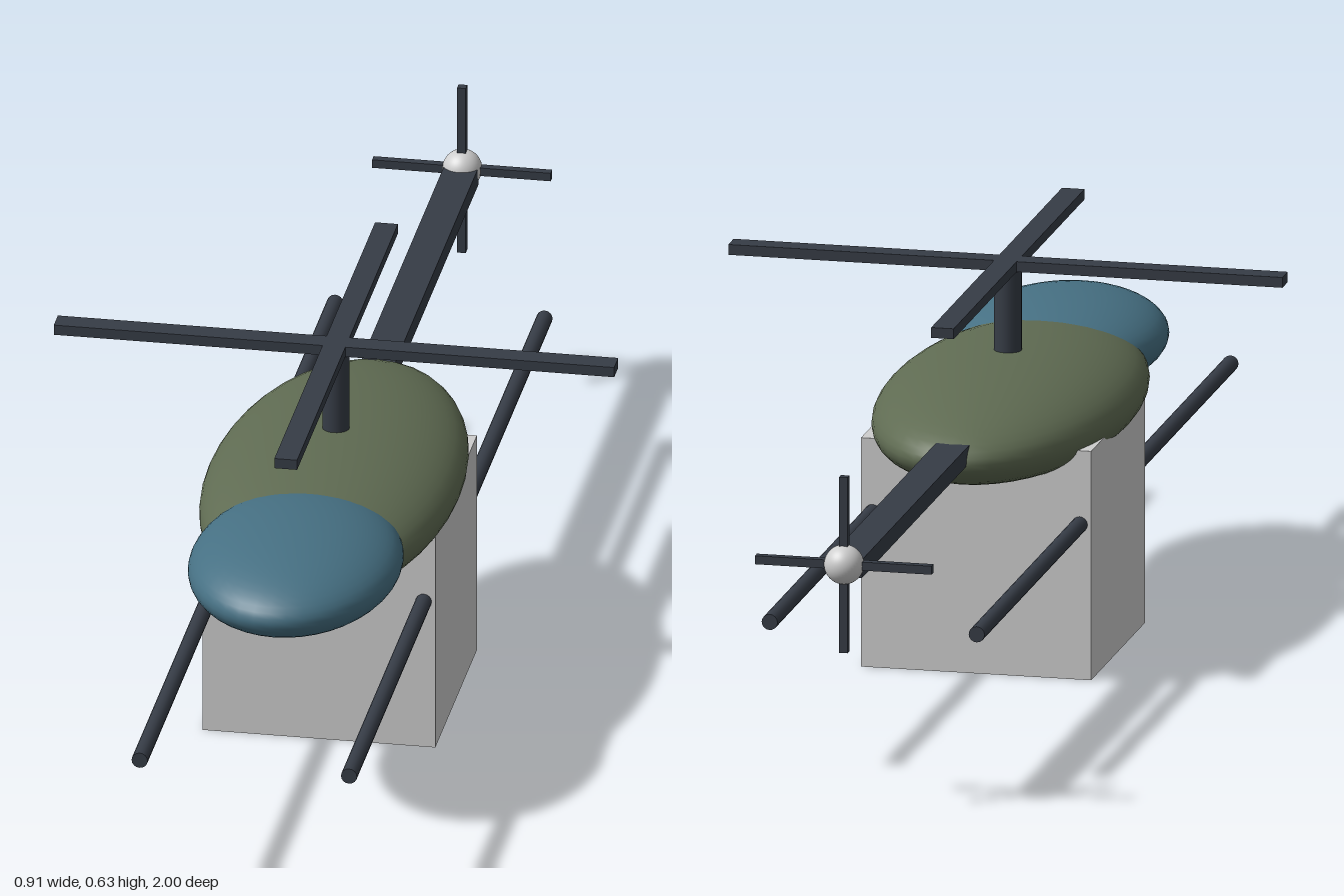
import * as THREE from 'three';

const material = (name, color) => {
  const m = new THREE.MeshStandardMaterial({ color });
  m.name = name;
  return m;
};

export function createModel() {
  const group = new THREE.Group();
  const olive = material('olive green', 0x5f6b52);
  const blue = material('canopy blue', 0x467083);
  const dark = material('dark slate', 0x363c46);
  const grey = material('light grey', 0xcecece);

  const add = (name, geometry, mat, x, y, z) => {
    const mesh = new THREE.Mesh(geometry, mat);
    mesh.name = name;
    mesh.position.set(x, y, z);
    group.add(mesh);
    return mesh;
  };
  const box = (name, w, h, d, mat, x, y, z) =>
    add(name, new THREE.BoxGeometry(w, h, d), mat, x, y, z);
  const ellipsoid = (name, rx, ry, rz, mat, x, y, z) =>
    add(name, new THREE.SphereGeometry(1, 40, 28).scale(rx, ry, rz), mat, x, y, z);

  // Body: flattened fuselage, canopy and cargo box underneath
  ellipsoid('fuselage', 0.205, 0.088, 0.43, olive, 0, 0.391, 0.19);
  ellipsoid('canopy', 0.17, 0.073, 0.24, blue, 0, 0.406, 0.535);
  box('cargoBox', 0.378, 0.378, 0.376, grey, 0, 0.189, 0.138);

  // Main rotor: mast and two crossed blades
  add('rotorMast', new THREE.CylinderGeometry(0.022, 0.022, 0.19, 24), dark, 0, 0.525, 0.172);
  box('mainRotorBladeAcross', 0.91, 0.017, 0.037, dark, 0, 0.621, 0.172);
  box('mainRotorBladeAlong', 0.037, 0.017, 0.91, dark, 0, 0.621, 0.171);

  // Tail: boom, hub and small crossed rotor
  box('tailBoom', 0.055, 0.03, 0.755, dark, 0, 0.405, -0.5825);
  ellipsoid('tailHub', 0.032, 0.032, 0.032, grey, 0, 0.413, -0.968);
  box('tailRotorBladeAcross', 0.29, 0.014, 0.014, dark, 0, 0.413, -0.967);
  box('tailRotorBladeUpright', 0.014, 0.29, 0.014, dark, 0, 0.413, -0.967);

  // Landing skids
  for (const side of [1, -1]) {
    const rod = new THREE.CylinderGeometry(0.013, 0.013, 1.766, 16).rotateX(Math.PI / 2);
    add(side > 0 ? 'leftSkid' : 'rightSkid', rod, dark, side * 0.17, 0.256, 0.117);
  }

  return group;
}
